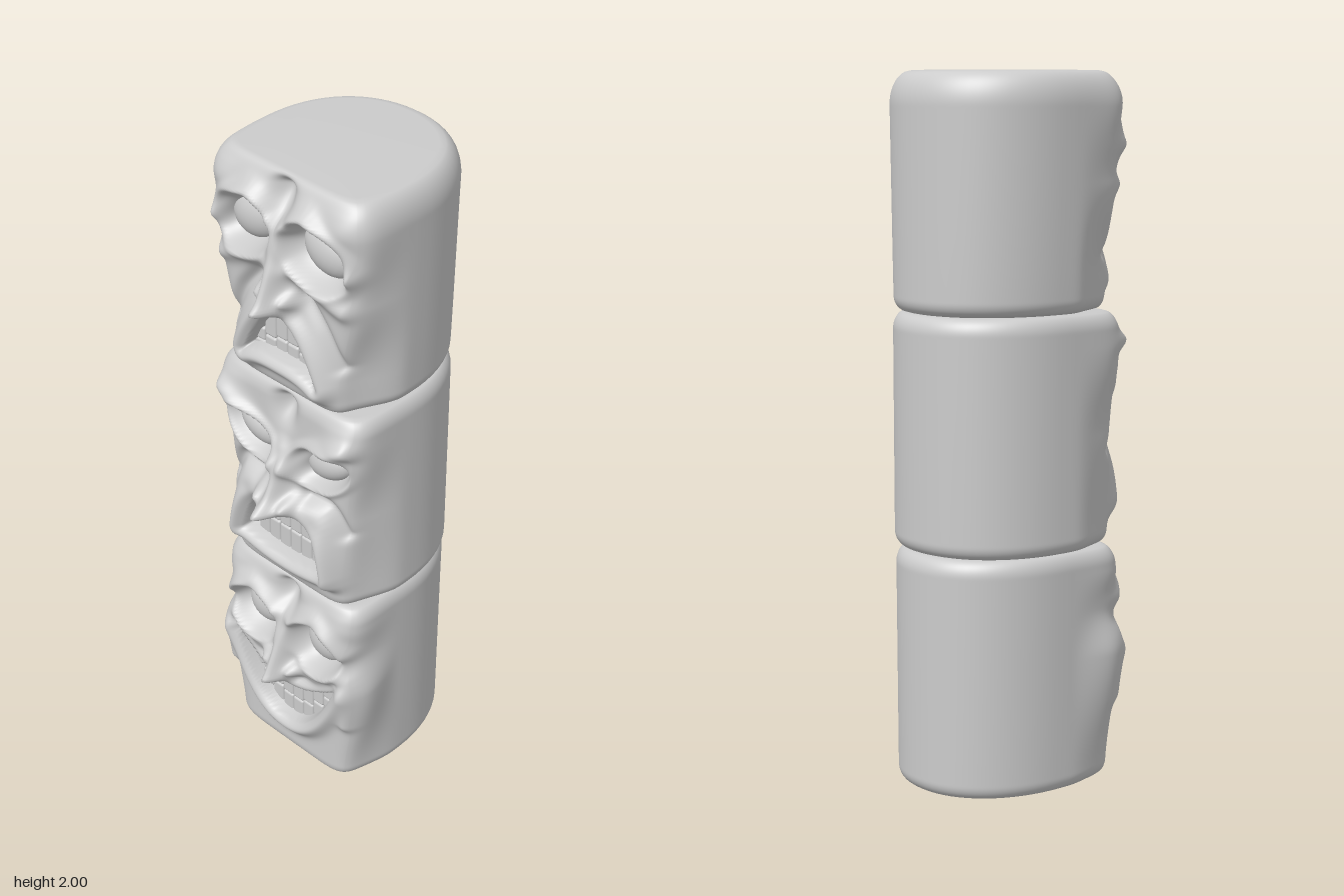
import * as THREE from 'three';
import { RoundedBoxGeometry } from 'three/addons/geometries/RoundedBoxGeometry.js';

const FRONT = 0.215, BACK = 0.325, SQUARENESS = 7;
const material = new THREE.MeshStandardMaterial({ color: 0xcccccc, roughness: 0.8 });
const { smoothstep, lerp, clamp } = THREE.MathUtils;
const bell = (d, r) => Math.exp(-((d / r) ** 2));

// Faces are symmetric: only the x >= 0 half is described.
// front: [y, half width]; body: half width at bottom and top; brow, cheek and furrow: arcs through three points
const smiling = {
  name: 'smiling', y0: 0, y1: 0.68, inset: 0.035, round: 0.05, body: [0.26, 0.267],
  front: [[0, 0.235], [0.37, 0.288], [0.5, 0.255], [0.61, 0.268]],
  eye: { x: 0.122, y: 0.487, rx: 0.074, ry: 0.07, tilt: 0 },
  nose: { top: 0.6, tip: 0.35 },
  mouth: { w: 0.2, corner: 0.365, top: 0.285, topPower: 2, bottom: 0.135, bottomPower: 2.3, split: 0.42 },
  brow: [[0.035, 0.55], [0.13, 0.6], [0.23, 0.52]],
  cheek: [[0.08, 0.38], [0.24, 0.42], [0.235, 0.24]],
  furrow: [[0.06, 0.33], [0.13, 0.345], [0.2, 0.395]],
};
const angry = {
  name: 'angry', y0: 0.68, y1: 1.343, inset: 0.035, round: 0.05, body: [0.276, 0.276],
  front: [[0.75, 0.235], [1, 0.245], [1.25, 0.275]],
  eye: { x: 0.132, y: 1.145, rx: 0.085, ry: 0.055, tilt: 0.4 },
  nose: { top: 1.2, tip: 0.98 },
  mouth: { w: 0.155, corner: 0.795, top: 0.945, topPower: 5, bottom: 0.775, bottomPower: 2, split: 0.45 },
  brow: [[0.035, 1.105], [0.13, 1.205], [0.235, 1.255]],
  cheek: [[0.07, 1], [0.155, 0.96], [0.19, 0.77]],
  furrow: [[0.09, 1.03], [0.17, 1.03], [0.215, 0.95]],
};
const sad = {
  name: 'sad', y0: 1.343, y1: 2, inset: 0.055, round: 0.095, body: [0.268, 0.293],
  front: [[1.45, 0.215], [1.7, 0.262], [1.91, 0.285]],
  eye: { x: 0.13, y: 1.82, rx: 0.088, ry: 0.07, tilt: -0.35 },
  nose: { top: 1.9, tip: 1.645 },
  mouth: { w: 0.135, corner: 1.425, top: 1.59, topPower: 2, bottom: 1.45, bottomPower: 3, split: 0.3 },
  brow: [[0.035, 1.87], [0.11, 1.925], [0.235, 1.8]],
  cheek: [[0.05, 1.745], [0.13, 1.725], [0.22, 1.69]],
  furrow: [[0.085, 1.68], [0.15, 1.6], [0.195, 1.5]],
};

// Eased front half width at height y
function frontWidth(table, y) {
  let i = 0;
  while (i < table.length - 2 && y > table[i + 1][0]) i++;
  return lerp(table[i][1], table[i + 1][1], smoothstep(y, table[i][0], table[i + 1][0]));
}

const arc = (pts) => new THREE.SplineCurve(pts.map((p) => new THREE.Vector2(...p))).getPoints(18);

function distance(x, y, line) {
  let best = 9;
  for (let i = 0; i + 1 < line.length; i++) {
    const a = line[i], dx = line[i + 1].x - a.x, dy = line[i + 1].y - a.y;
    const t = clamp(((x - a.x) * dx + (y - a.y) * dy) / (dx * dx + dy * dy), 0, 1);
    best = Math.min(best, Math.hypot(x - a.x - t * dx, y - a.y - t * dy));
  }
  return best;
}

// Edges of the mouth run from a centre height to the shared corner
const lipCurve = (m, centre, power) => (x) => lerp(centre, m.corner, Math.min(x / m.w, 1) ** power);

function lipLine(m, curve) {
  return Array.from({ length: 25 }, (_, i) => {
    const x = m.w * Math.sin((i / 24) * Math.PI / 2);
    return new THREE.Vector2(x, curve(x));
  });
}

// Sculpted relief added to the flat front of a block
function relief(face, xs, y) {
  const x = Math.abs(xs), { eye, nose, mouth, upper, lower } = face;
  // brow, cheek, furrow, dent between the brows and temples
  let h = 0.03 * bell(distance(x, y, face.brow), 0.027)
    + 0.022 * bell(distance(x, y, face.cheek), 0.028)
    - 0.023 * bell(distance(x, y, face.furrow), 0.02)
    - 0.048 * bell(x, 0.036) * bell(y - face.y1 + 0.05, 0.06)
    + 0.014 * bell(x - 0.21, 0.055) * bell(y - face.y1 + 0.08, 0.045);

  // eye socket and lids
  const c = Math.cos(eye.tilt), s = Math.sin(eye.tilt), dx = x - eye.x, dy = y - eye.y;
  const e = Math.hypot((dx * c + dy * s) / eye.rx, (dy * c - dx * s) / eye.ry);
  h += 0.01 * bell(e - 1.35, 0.2) - 0.055 * Math.exp(-((e / 1.12) ** 6));

  // mouth opening and lips
  const d = Math.min(distance(x, y, face.upperLine), distance(x, y, face.lowerLine));
  const inside = x < mouth.w && y < upper(x) && y > lower(x);
  h += 0.032 * bell((inside ? -d : d) - 0.023, 0.028);
  if (inside) h -= 0.05 * smoothstep(d, 0, 0.014);

  // nose bridge, tip and nostrils
  const t = clamp((nose.top - y) / (nose.top - nose.tip), 0, 1.3);
  const under = smoothstep(y, nose.tip - 0.045, nose.tip - 0.005);
  h += 0.1 * (0.12 + 0.88 * t ** 1.5) * smoothstep(t, 0, 0.2) * under * bell(x, lerp(0.024, 0.034, t));
  return h + 0.042 * bell(x - 0.05, 0.02) * bell(y - nose.tip - 0.015, 0.024);
}

// Unit outline of a block: nearly square front, round back
function outline() {
  const pts = [];
  const add = (u, v) => {
    const k = (Math.abs(u) ** SQUARENESS + v ** SQUARENESS) ** (1 / SQUARENESS);
    pts.push([u / k, v / k]);
  };
  for (let i = 0; i < 92; i++) add(-1 + i / 46, 1);
  for (let i = 0; i < 14; i++) add(1, 1 - i / 14);
  for (let i = 0; i < 32; i++) {
    const a = (i / 32) * Math.PI, c = Math.cos(a);
    pts.push([Math.sign(c) * Math.abs(c) ** 0.92, -(Math.sin(a) ** 0.92)]);
  }
  for (let i = 0; i < 14; i++) add(-1, i / 14);
  return pts;
}

// Inset of a rounded edge, by the distance to the end of the block
const edge = (gap, size, inset) => inset * (1 - Math.sqrt(1 - clamp(1 - gap / size, 0, 1) ** 2));

function blockGeometry(face) {
  const ring = outline(), rows = 104, n = ring.length, pos = [], index = [];
  const { y0, y1 } = face;
  for (let i = 0; i <= rows; i++) {
    const t = i / rows, y = lerp(y0, y1, 0.65 * t + 0.175 * (1 - Math.cos(Math.PI * t)));
    const scale = 1 - (edge(y1 - y, face.round, face.inset) + edge(y - y0, 0.04, 0.03)) / 0.28;
    const fade = smoothstep(Math.min(y - y0, y1 - y), 0, 0.04);
    const front = frontWidth(face.front, y), body = lerp(...face.body, t);
    for (const [u, v] of ring) {
      const x = u * scale * lerp(body, front, smoothstep(v, 0.1, 0.85));
      let z = v * scale * (v > 0 ? FRONT : BACK);
      if (v > 0.4) z += relief(face, x, y) * smoothstep(v, 0.4, 0.95) * fade;
      pos.push(x, y, z);
    }
  }
  const at = (i, j) => i * n + (j % n);
  for (let i = 0; i < rows; i++) {
    for (let j = 0; j < n; j++) {
      index.push(at(i, j), at(i, j + 1), at(i + 1, j + 1), at(i, j), at(i + 1, j + 1), at(i + 1, j));
    }
  }
  // flat ends
  const low = pos.length / 3;
  pos.push(0, y0, -0.04, 0, y1, -0.04);
  for (let j = 0; j < n; j++) index.push(low, at(0, j + 1), at(0, j), low + 1, at(rows, j), at(rows, j + 1));
  const g = new THREE.BufferGeometry();
  g.setAttribute('position', new THREE.Float32BufferAttribute(pos, 3));
  g.setIndex(index);
  g.computeVertexNormals();
  return g;
}

function addMesh(parent, name, geometry) {
  const mesh = new THREE.Mesh(geometry, material);
  mesh.name = name;
  parent.add(mesh);
  return mesh;
}

function buildBlock(spec) {
  const { eye, mouth } = spec;
  const upper = lipCurve(mouth, mouth.top, mouth.topPower);
  const lower = lipCurve(mouth, mouth.bottom, mouth.bottomPower);
  const face = {
    ...spec, upper, lower, upperLine: lipLine(mouth, upper), lowerLine: lipLine(mouth, lower),
    brow: arc(spec.brow), cheek: arc(spec.cheek), furrow: arc(spec.furrow),
  };
  const group = new THREE.Group();
  group.name = `${face.name}Block`;
  addMesh(group, `${face.name}Head`, blockGeometry(face));

  // eyeballs
  for (const side of [1, -1]) {
    const ball = addMesh(group, side > 0 ? 'leftEye' : 'rightEye', new THREE.SphereGeometry(1, 28, 18));
    ball.scale.set(eye.rx, eye.ry, 0.05);
    ball.position.set(side * eye.x, eye.y, 0.158);
    ball.rotation.z = side * eye.tilt;
  }

  // upper and lower teeth fitted between the lips
  const teeth = new THREE.Group(), width = 0.042;
  teeth.name = 'teeth';
  group.add(teeth);
  for (let i = -5; i < 5; i++) {
    const x = (i + 0.5) * width, ax = Math.abs(x);
    if (ax > mouth.w - 0.01) continue;
    const top = upper(ax), bottom = lower(ax), mid = lerp(bottom, top, mouth.split);
    for (const [name, a, b] of [['upperTooth', mid, top + 0.006], ['lowerTooth', bottom - 0.006, mid]]) {
      if (b - a < 0.02) continue;
      const tooth = addMesh(teeth, name, new RoundedBoxGeometry(width, b - a, 0.05, 2, 0.008));
      tooth.position.set(x, (a + b) / 2, 0.174);
    }
  }
  return group;
}

export function createModel() {
  const model = new THREE.Group();
  model.name = 'carvedPole';
  for (const face of [smiling, angry, sad]) model.add(buildBlock(face));
  return model;
}
